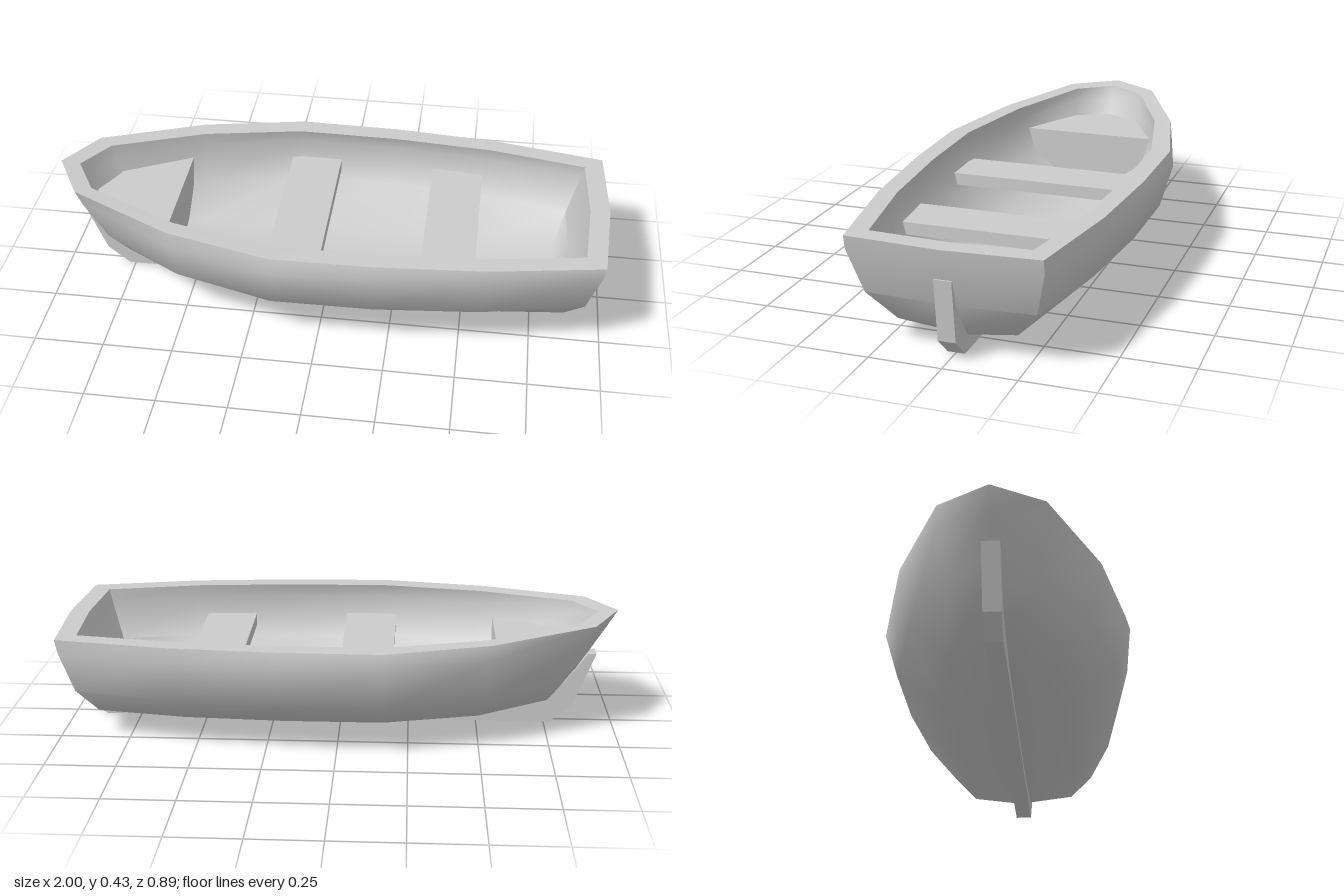
import * as THREE from 'three';
import { toCreasedNormals } from 'three/addons/utils/BufferGeometryUtils.js';
import { ConvexGeometry } from 'three/addons/geometries/ConvexGeometry.js';

const material = new THREE.MeshStandardMaterial({ color: 0xcccccc });

// Gunwale outline from bow tip to stern centre: [x, half width]
const side = [[-1, 0], [-0.9, 0.175], [-0.53, 0.345], [-0.16, 0.43], [0.2, 0.425], [0.58, 0.395], [0.98, 0.325], [1, 0]];
const outline = [...side, ...side.slice(1, -1).reverse().map(([x, z]) => [x, -z])];

// Levels from outer keel up over the rim and down to the inner floor:
// [y, rise at bow, rise at stern, bow x, stern x, width scale amidships, at bow, at stern]
const levels = [
  [0.02, 0.07, 0.03, -0.76, 0.85, 0, 0, 0],
  [0.063, 0.055, 0.022, -0.80, 0.88, 0.52, 0.45, 0.63],
  [0.185, 0.03, 0.005, -0.87, 0.945, 0.93, 0.78, 0.88],
  [0.345, 0.025, 0, -0.965, 0.99, 1.035, 0.98, 1.0],
  [0.398, 0.032, -0.005, -1, 1, 1, 1, 1],
  [0.398, 0.025, -0.005, -0.93, 0.93, 0.84, 0.77, 0.83],
  [0.345, 0.025, 0, -0.91, 0.92, 0.88, 0.76, 0.83],
  [0.2, 0.03, 0.005, -0.82, 0.875, 0.8, 0.6, 0.72],
  [0.1, 0.055, 0.022, -0.76, 0.83, 0.42, 0.35, 0.4],
  [0.08, 0.05, 0.02, -0.73, 0.8, 0, 0, 0],
];

function hullPoint([y, riseBow, riseStern, bow, stern, mid, wBow, wStern], [x, z]) {
  const t = Math.abs(x), ahead = x < 0;
  return [
    x + (ahead ? bow + 1 : stern - 1) * t ** 3,
    y + (ahead ? riseBow : riseStern) * t * t,
    z * THREE.MathUtils.lerp(mid, ahead ? wBow : wStern, t * t),
  ];
}

function hullGeometry() {
  const n = outline.length, index = [];
  const position = levels.flatMap(level => outline.flatMap(p => hullPoint(level, p)));
  for (let i = 0; i < levels.length - 1; i++) {
    for (let j = 0; j < n; j++) {
      const k = (j + 1) % n;
      const a = i * n + j, b = i * n + k, c = b + n, d = a + n;
      index.push(a, b, c, a, c, d);
    }
  }
  const g = new THREE.BufferGeometry();
  g.setAttribute('position', new THREE.Float32BufferAttribute(position, 3));
  g.setIndex(index);
  return toCreasedNormals(g, 1.15);
}

export function createModel() {
  const group = new THREE.Group();
  const add = (name, geometry) => {
    const mesh = new THREE.Mesh(geometry, material);
    mesh.name = name;
    group.add(mesh);
    return mesh;
  };

  add('hull', hullGeometry());

  // Keel plate with stem and stern post; its upper edge is buried in the hull
  const keel = new THREE.Shape([
    [-0.93, 0.27], [-0.85, 0.065], [-0.77, 0], [0.88, 0], [0.955, 0.07], [0.978, 0.285],
    [0.95, 0.285], [0.89, 0.13], [0.83, 0.075], [0.5, 0.05], [-0.5, 0.06], [-0.74, 0.11], [-0.82, 0.16], [-0.9, 0.27],
  ].map(p => new THREE.Vector2(...p)));
  add('keel', new THREE.ExtrudeGeometry(keel, { depth: 0.06, bevelEnabled: false }).translate(0, 0, -0.03));

  // Two thwarts
  for (const [name, x, halfLength] of [['middleSeat', -0.1, 0.38], ['sternSeat', 0.445, 0.36]]) {
    add(name, new THREE.BoxGeometry(0.19, 0.045, halfLength * 2)).position.set(x, 0.26, 0);
  }

  // Solid bow seat, narrowing downwards: [y, aft half width, fore x, fore half width, tip x]
  const points = [];
  for (const [y, aft, foreX, fore, tip] of [
    [0.313, 0.28, -0.83, 0.14, -0.9], [0.2, 0.26, -0.77, 0.1, -0.82], [0.11, 0.13, -0.7, 0.05, -0.74],
  ]) {
    points.push(new THREE.Vector3(tip, y, 0));
    for (const s of [-1, 1]) {
      points.push(new THREE.Vector3(-0.565, y, s * aft), new THREE.Vector3(foreX, y, s * fore));
    }
  }
  add('bowSeat', new ConvexGeometry(points));

  return group;
}
